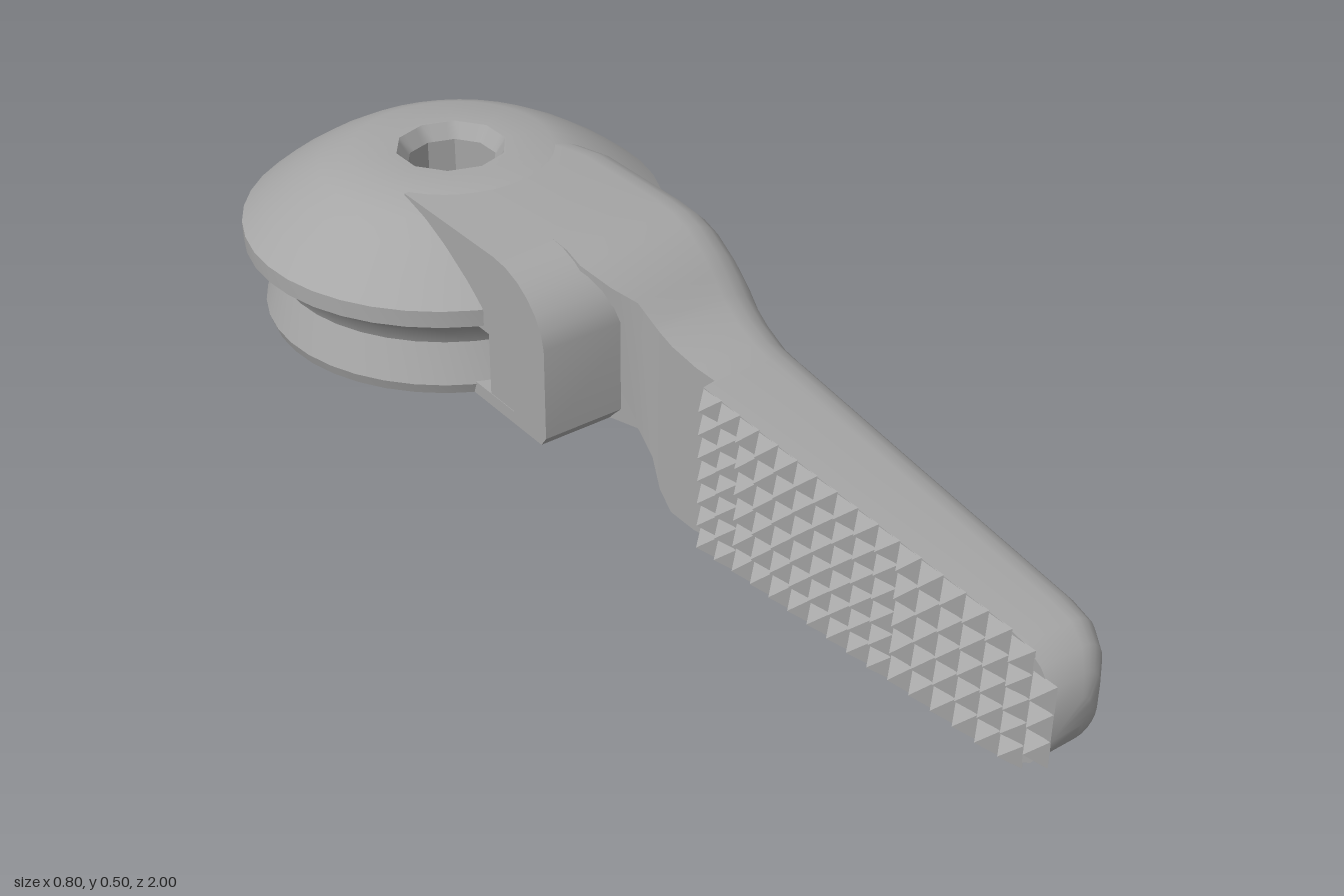
import * as THREE from 'three';
import { toCreasedNormals, mergeGeometries } from 'three/addons/utils/BufferGeometryUtils.js';

const gray = new THREE.MeshStandardMaterial({ color: 0xa6a6a6 });
gray.name = 'grey plastic';

function part(name, geometry, crease = 0.55) {
  const mesh = new THREE.Mesh(toCreasedNormals(geometry, crease), gray);
  mesh.name = name;
  return mesh;
}

// Lever sections: z, inner x, outer x, bottom y, top y, bottom radius, top radius
const SECTIONS = [
  [-0.49, -0.05, 0.25, 0.33, 0.497, 0.02, 0.09],
  [-0.42, -0.05, 0.27, 0.33, 0.497, 0.02, 0.09],
  [-0.2, -0.05, 0.27, 0.33, 0.497, 0.02, 0.09],
  [-0.152, -0.05, 0.27, 0.33, 0.493, 0.02, 0.09],
  [-0.15, -0.05, 0.27, 0.18, 0.493, 0.03, 0.09],
  [-0.11, -0.05, 0.27, 0.18, 0.48, 0.03, 0.09],
  [-0.06, -0.02, 0.27, 0.18, 0.448, 0.04, 0.09],
  [-0.03, 0.015, 0.27, 0.16, 0.42, 0.05, 0.09],
  [0, 0.025, 0.268, 0.11, 0.39, 0.07, 0.09],
  [0.018, 0.028, 0.267, 0.05, 0.378, 0.09, 0.09],
  [0.045, 0.033, 0.265, 0.012, 0.362, 0.1, 0.09],
  [0.1, 0.043, 0.26, 0, 0.343, 0.1, 0.09],
  [0.145, 0.048, 0.257, 0.003, 0.338, 0.1, 0.09],
  [0.15, 0.02, 0.257, 0.003, 0.338, 0.1, 0.09],
  [0.5, 0.02, 0.222, 0.025, 0.318, 0.1, 0.08],
  [0.88, 0.02, 0.185, 0.048, 0.297, 0.08, 0.07],
  [0.93, 0.02, 0.174, 0.058, 0.287, 0.07, 0.06],
  [0.965, 0.02, 0.155, 0.08, 0.265, 0.06, 0.05],
  [0.988, 0.02, 0.13, 0.11, 0.235, 0.04, 0.04],
  [1, 0.02, 0.1, 0.145, 0.2, 0.02, 0.02],
];
const STEPS = 5;

function sectionPoints([z, xi, xo, yb, yt, rb, rt]) {
  const pts = [[xi, yb, z]];
  for (let i = 0; i <= STEPS; i++) {
    const a = (i / STEPS) * Math.PI / 2;
    pts.push([xo - rb + rb * Math.sin(a), yb + rb - rb * Math.cos(a), z]);
  }
  for (let i = 0; i <= STEPS; i++) {
    const a = (i / STEPS) * Math.PI / 2;
    pts.push([xo - rt + rt * Math.cos(a), yt - rt + rt * Math.sin(a), z]);
  }
  pts.push([xi, yt, z]);
  return pts;
}

function loft(sections) {
  const rings = sections.map(sectionPoints);
  const n = rings[0].length, last = (rings.length - 1) * n;
  const index = [];
  for (let i = 0; i < rings.length - 1; i++) {
    for (let j = 0; j < n; j++) {
      const a = i * n + j, b = i * n + (j + 1) % n;
      index.push(a, b, b + n, a, b + n, a + n);
    }
  }
  for (let j = 1; j < n - 1; j++) {
    index.push(last, last + j, last + j + 1, 0, j + 1, j);
  }
  const g = new THREE.BufferGeometry();
  g.setAttribute('position', new THREE.Float32BufferAttribute(rings.flat(2), 3));
  g.setIndex(index);
  return g;
}

// Grooved round head with a ten-sided bore
function headGeometry() {
  const profile = [
    [0.085, 0.47], [0.085, 0.172], [0.19, 0.172], [0.19, 0.179], [0.362, 0.179], [0.369, 0.2],
    [0.342, 0.275], [0.355, 0.305], [0.378, 0.328], [0.4, 0.34], [0.4, 0.373], [0.355, 0.41],
    [0.3, 0.447], [0.25, 0.475], [0.19, 0.499], [0.105, 0.499], [0.085, 0.47],
  ].map(([r, y]) => new THREE.Vector2(r, y));
  const g = new THREE.LatheGeometry(profile, 40);
  const p = g.attributes.position, wedge = Math.PI / 5;
  for (let i = 0; i < p.count; i++) {
    const x = p.getX(i), z = p.getZ(i);
    if (Math.hypot(x, z) > 0.12) continue;
    const a = Math.atan2(x, z) + 2 * Math.PI;
    const k = Math.cos(wedge / 2) / Math.cos((a + 1e-6) % wedge - wedge / 2);
    p.setX(i, x * k);
    p.setZ(i, z * k);
  }
  return g.translate(0, 0, -0.6);
}

// Side block: rounded nose, slot under the top and thin floor, drawn as (z, y)
function blockGeometry() {
  const s = new THREE.Shape();
  s.moveTo(-0.49, 0.33);
  s.lineTo(-0.15, 0.33);
  s.lineTo(-0.15, 0.205);
  s.lineTo(-0.29, 0.205);
  s.lineTo(-0.29, 0.18);
  s.lineTo(-0.065, 0.18);
  s.lineTo(-0.05, 0.2);
  s.lineTo(-0.05, 0.38);
  s.bezierCurveTo(-0.055, 0.44, -0.12, 0.497, -0.2, 0.497);
  s.lineTo(-0.49, 0.497);
  const g = new THREE.ExtrudeGeometry(s, {
    depth: 0.2, curveSegments: 6, bevelEnabled: false,
  });
  // The extrusion runs from x = 0.03 to x = -0.17
  return g.rotateY(-Math.PI / 2).translate(0.03, 0, 0);
}

// Height limits of the handle at a given z
function limits(z) {
  const i = SECTIONS.findIndex((s) => s[0] >= z);
  const a = SECTIONS[i - 1], b = SECTIONS[i], t = (z - a[0]) / (b[0] - a[0]);
  return [a[3] + (b[3] - a[3]) * t, a[4] + (b[4] - a[4]) * t];
}

// Grid of pyramid teeth on the flat inner face
function teethGeometry() {
  const pitch = 0.05, teeth = [];
  const tooth = new THREE.ConeGeometry(pitch / Math.SQRT2, 0.031, 4, 1);
  tooth.rotateY(Math.PI / 4).rotateZ(Math.PI / 2);
  for (let row = 0; row < 17; row++) {
    const z = 0.175 + row * pitch;
    const [low, high] = limits(z);
    const count = Math.max(1, Math.round((high - low) / pitch));
    const step = (high - low) / count;
    for (let k = 0; k < count; k++) {
      const g = tooth.clone().scale(1, step / pitch, 1);
      teeth.push(g.translate(0.0055, low + (k + 0.5) * step, z));
    }
  }
  return mergeGeometries(teeth);
}

export function createModel() {
  const model = new THREE.Group();
  model.name = 'toothedLever';
  model.add(part('roundHead', headGeometry()));
  model.add(part('leverArm', loft(SECTIONS)));
  model.add(part('sideBlock', blockGeometry()));
  model.add(part('gripTeeth', teethGeometry(), 0.2));

  // Floor of the slot and its small end wall
  const floor = new THREE.BoxGeometry(0.2, 0.025, 0.16).translate(0.12, 0.1925, -0.22);
  model.add(part('slotFloor', floor));
  const wall = new THREE.BoxGeometry(0.03, 0.15, 0.08).translate(-0.154, 0.27, -0.185);
  model.add(part('slotWall', wall));
  return model;
}
